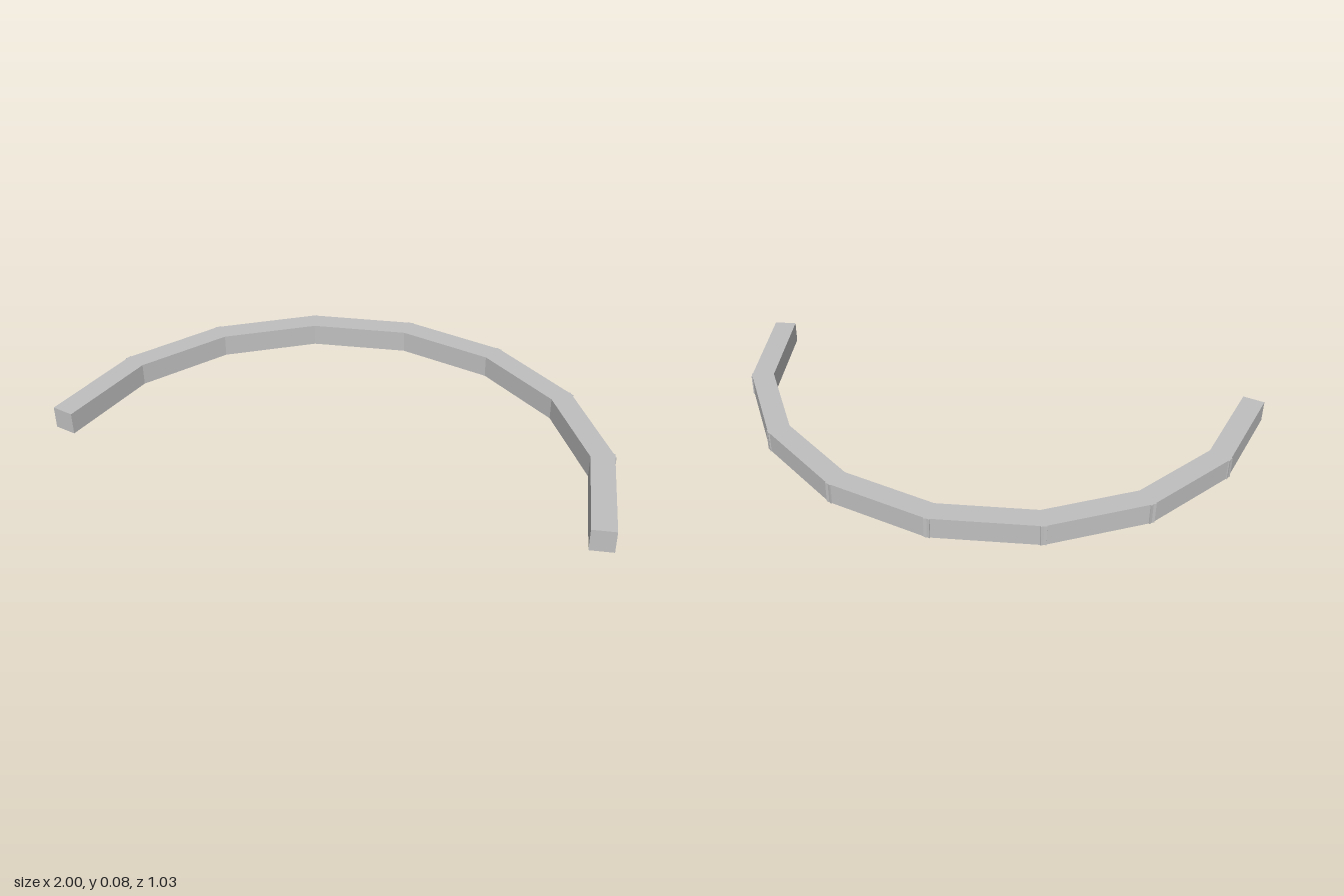
import * as THREE from 'three';

// Half-ring made of eight straight, slightly overlapping bars
export function createModel() {
  const group = new THREE.Group();
  group.name = 'segmentedArch';

  const grey = new THREE.MeshStandardMaterial({ color: 0xc0c0c0 });
  grey.name = 'lightGrey';

  const count = 8;
  const radius = 0.956;
  const thickness = 0.082;
  const centreZ = 0.487;
  const step = Math.PI / count;
  const chord = 2 * radius * Math.sin(step / 2);
  const midRadius = radius * Math.cos(step / 2);

  // Each bar is a tenth longer than its chord, so its ends cross its neighbours
  const bar = new THREE.BoxGeometry(thickness, thickness, chord * 1.1);

  for (let i = 0; i < count; i++) {
    const angle = (i + 0.5) * step;
    const mesh = new THREE.Mesh(bar, grey);
    mesh.name = `archSegment${i + 1}`;
    mesh.position.set(
      midRadius * Math.cos(angle),
      thickness / 2,
      centreZ - midRadius * Math.sin(angle)
    );
    mesh.rotation.y = angle;
    group.add(mesh);
  }
  return group;
}
